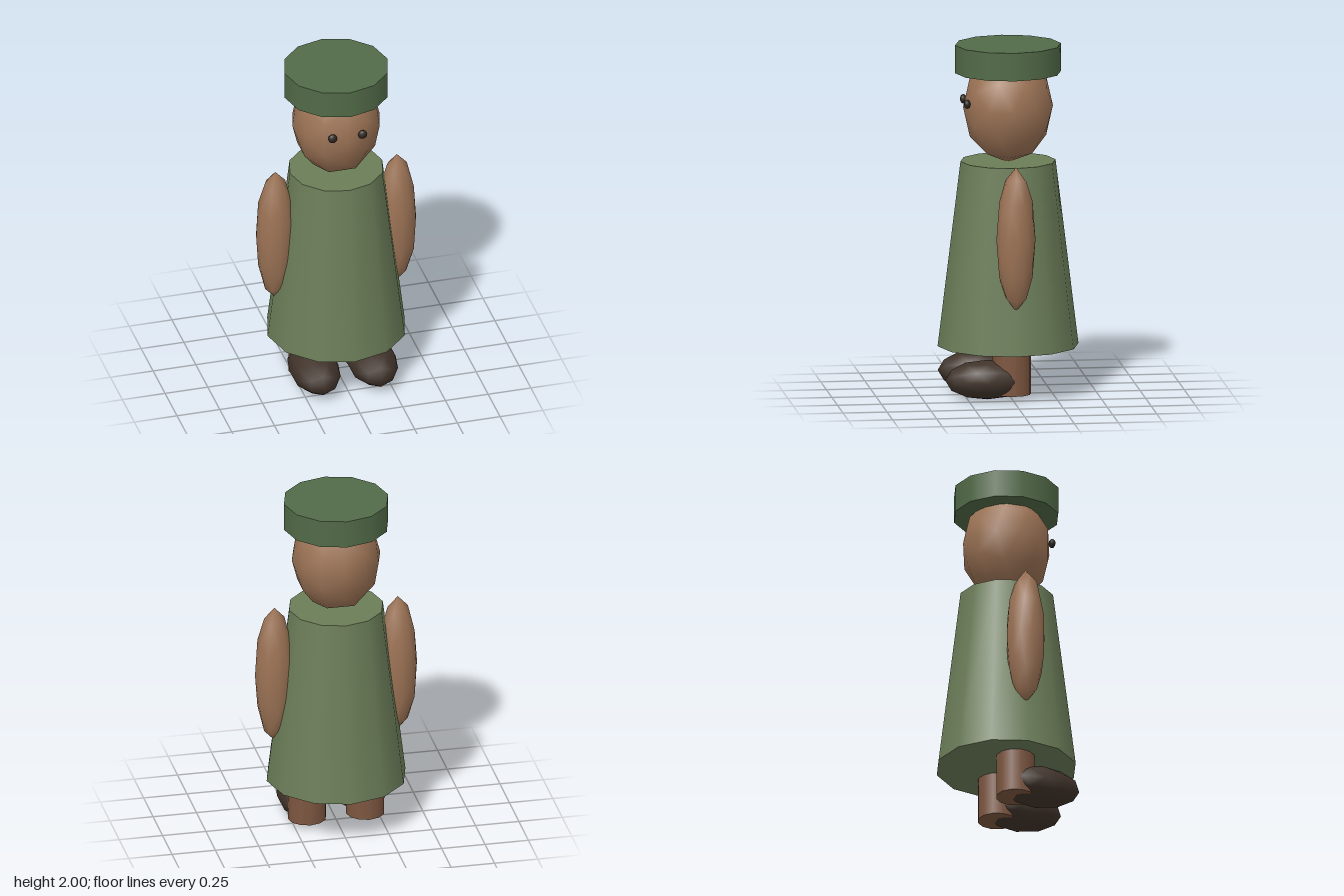
import * as THREE from 'three';

const mat = (color) => new THREE.MeshStandardMaterial({ color });

export function createModel() {
  const model = new THREE.Group();
  const cloth = mat(0x6b7d58), felt = mat(0x526b48), skin = mat(0x9c7355);
  const legSkin = mat(0x7d5640), leather = mat(0x40332a), dark = mat(0x2e2722);

  function add(name, geometry, material, x, y, z) {
    const mesh = new THREE.Mesh(geometry, material);
    mesh.name = name;
    mesh.position.set(x, y, z);
    model.add(mesh);
  }

  // Low-poly ball stretched to the given half sizes
  const ball = (rx, ry, rz) => new THREE.IcosahedronGeometry(1, 1).scale(rx, ry, rz);

  // Twelve-sided drum or cone between two heights
  function drum(name, rTop, rBottom, y0, y1, material, x = 0) {
    const geometry = new THREE.CylinderGeometry(rTop, rBottom, y1 - y0, 12);
    add(name, geometry, material, x, (y0 + y1) / 2, 0);
  }

  drum('robe', 0.27, 0.4, 0.28, 1.335, cloth);
  add('head', ball(0.255, 0.32, 0.255), skin, 0, 1.645, 0);
  drum('hat', 0.3, 0.3, 1.84, 2, felt);

  // Paired parts
  for (const [side, s] of [['left', 1], ['right', -1]]) {
    add(side + 'Eye', ball(0.027, 0.027, 0.019), dark, s * 0.088, 1.677, 0.243);
    add(side + 'Arm', ball(0.111, 0.413, 0.111), skin, s * 0.356, 0.945, 0);
    drum(side + 'Leg', 0.11, 0.11, 0.03, 0.4, legSkin, s * 0.168);
    add(side + 'Shoe', ball(0.142, 0.113, 0.24), leather, s * 0.168, 0.113, 0.138);
  }
  return model;
}
